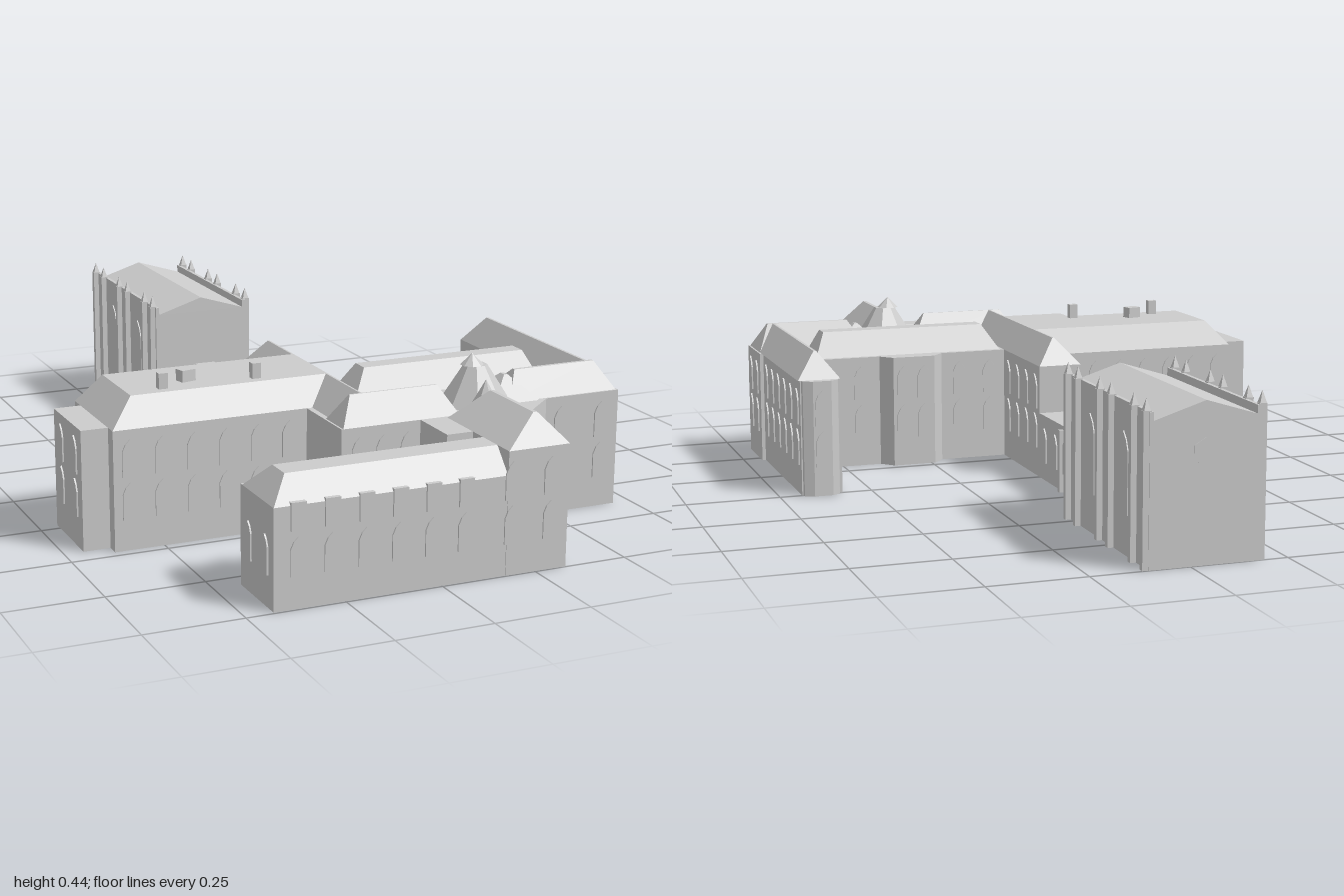
import * as THREE from 'three';

const EAVE = 0.31, RIDGE = 0.38;

export function createModel() {
  const root = new THREE.Group();
  const mat = new THREE.MeshStandardMaterial({ color: 0xcccccc, flatShading: true });

  function add(name, geo, x = 0, y = 0, z = 0, ry = 0) {
    const m = new THREE.Mesh(geo, mat);
    m.name = name;
    m.position.set(x, y, z);
    m.rotation.y = ry;
    root.add(m);
    return m;
  }

  // Vertical walls over a plan outline of [x, z] corners
  function prism(name, pts, h) {
    const s = new THREE.Shape(pts.map(([x, z]) => new THREE.Vector2(x, -z)));
    const g = new THREE.ExtrudeGeometry(s, { depth: h, bevelEnabled: false });
    add(name, g.rotateX(-Math.PI / 2));
  }

  function block(name, x0, x1, z0, z1, y0, y1) {
    add(name, new THREE.BoxGeometry(x1 - x0, y1 - y0, z1 - z0),
      (x0 + x1) / 2, (y0 + y1) / 2, (z0 + z1) / 2);
  }

  // Hipped, flat-topped or gabled roof: base rectangle rising to a smaller top one
  function roof(name, [x0, x1, z0, z1], [u0, u1, w0, w1], y0 = EAVE, y1 = RIDGE) {
    const ring = (a, b, c, d, y) => [[a, y, d], [b, y, d], [b, y, c], [a, y, c]];
    const p = [...ring(x0, x1, z0, z1, y0), ...ring(u0, u1, w0, w1, y1)];
    const quads = [[4, 5, 6, 7], [3, 2, 1, 0]];
    for (let i = 0; i < 4; i++) quads.push([i, (i + 1) % 4, 4 + (i + 1) % 4, 4 + i]);
    const pos = [];
    for (const [a, b, c, d] of quads)
      for (const k of [a, b, c, a, c, d]) pos.push(...p[k]);
    const g = new THREE.BufferGeometry();
    g.setAttribute('position', new THREE.Float32BufferAttribute(pos, 3));
    g.computeVertexNormals();
    add(name, g);
  }

  // Pointed window panel, standing on y = 0
  function arch(w, h) {
    const a = w / 2, s = new THREE.Shape();
    s.moveTo(-a, 0);
    s.lineTo(a, 0);
    s.lineTo(a, h - w * 0.75);
    s.lineTo(a * 0.6, h - w * 0.3);
    s.lineTo(0, h);
    s.lineTo(-a * 0.6, h - w * 0.3);
    s.lineTo(-a, h - w * 0.75);
    s.closePath();
    return new THREE.ExtrudeGeometry(s, { depth: 0.004, bevelEnabled: false });
  }
  const tall = arch(0.04, 0.095);

  // Row of windows on a wall running left to right as seen from outside
  function windows([ax, az], [bx, bz], n, levels = [0.08, 0.19], geo = tall) {
    const ry = Math.atan2(-(bz - az), bx - ax);
    for (let i = 0; i < n; i++) {
      const t = (i + 0.5) / n;
      for (const y of levels) add('window', geo, ax + (bx - ax) * t, y, az + (bz - az) * t, ry);
    }
  }

  // Central block with diagonal entrance front
  prism('centralWalls', [[-0.1, 0.46], [0.6, 0.46], [0.49, 0.63], [0.34, 0.765],
    [0.33, 0.82], [0.1, 0.82], [0.1, 0.68], [-0.1, 0.68]], EAVE);
  windows([0.34, 0.765], [0.48, 0.638], 2);

  // Narrow wing leading back to the link
  block('narrowWingWalls', -0.1, 0.02, 0, 0.6, 0, EAVE);
  block('narrowWingFrontWalls', -0.115, 0, 0.47, 0.68, 0, EAVE);
  roof('narrowWingRoof', [-0.1, 0.02, 0, 0.68], [-0.04, -0.035, 0.05, 0.63]);
  roof('courtRoof', [-0.11, 0.21, 0.58, 0.68], [-0.07, 0.17, 0.625, 0.63]);
  windows([-0.1, 0], [-0.1, 0.18], 2);
  windows([0.02, 0.31], [0.02, 0], 4);
  windows([-0.1, 0.68], [0.1, 0.68], 3);

  // West wing
  block('westWingWalls', -0.63, -0.1, 0.18, 0.475, 0, EAVE);
  block('westEndBay', -0.7, -0.63, 0.225, 0.44, 0, EAVE);
  roof('westWingRoof', [-0.63, -0.04, 0.18, 0.475], [-0.565, -0.04, 0.21, 0.425]);
  windows([-0.63, 0.475], [-0.12, 0.475], 6);
  windows([-0.1, 0.18], [-0.63, 0.18], 7);
  windows([-0.7, 0.225], [-0.7, 0.44], 2);
  block('chimney', -0.482, -0.458, 0.38, 0.4, 0.36, 0.42);
  block('chimney', -0.232, -0.208, 0.38, 0.4, 0.36, 0.42);
  add('chimney', new THREE.BoxGeometry(0.04, 0.05, 0.03), -0.39, 0.385, 0.345, 0.25);

  // Middle range with rear bay
  block('middleRangeWalls', 0, 0.6, 0.31, 0.48, 0, EAVE);
  prism('rearBay', [[0.2, 0.32], [0.24, 0.275], [0.36, 0.275], [0.4, 0.32]], EAVE);
  roof('middleRangeRoof', [0.03, 0.57, 0.325, 0.455], [0.075, 0.54, 0.36, 0.41]);
  windows([0.2, 0.31], [0.02, 0.31], 2);
  windows([0.58, 0.31], [0.4, 0.31], 2);
  windows([0.36, 0.275], [0.24, 0.275], 2);

  // East wing with apse end
  block('eastWingWalls', 0.58, 0.69, 0, 0.63, 0, EAVE);
  prism('eastApse', [[0.58, 0.02], [0.59, -0.01], [0.61, -0.022], [0.66, -0.022],
    [0.685, -0.01], [0.69, 0.02]], EAVE);
  roof('eastWingRoof', [0.58, 0.695, 0, 0.63], [0.633, 0.64, 0.05, 0.58]);
  block('eastFrontWalls', 0.47, 0.7, 0.47, 0.635, 0, EAVE);
  roof('eastFrontRoof', [0.38, 0.695, 0.49, 0.63], [0.42, 0.655, 0.57, 0.58]);
  windows([0.47, 0.635], [0.71, 0.635], 2);
  windows([0.7, 0.635], [0.7, 0.48], 2);
  windows([0.69, 0.47], [0.69, 0], 6);
  windows([0.58, 0], [0.58, 0.31], 4);
  windows([0.67, -0.022], [0.6, -0.022], 1);

  // Front range: lower roof with wall dormers
  block('frontRangeWalls', -0.43, 0.2, 0.8, 0.995, 0, 0.25);
  roof('frontRangeRoof', [-0.43, 0.2, 0.81, 0.995], [-0.38, 0.2, 0.87, 0.94], 0.25, EAVE);
  const step = 0.086, low = arch(0.036, 0.095);
  windows([-0.413, 0.995], [-0.413 + 6 * step, 0.995], 6, [0.08]);
  windows([0.1, 0.8], [-0.43, 0.8], 6, [0.08], low);
  windows([-0.43, 0.8], [-0.43, 0.995], 2, [0.08], low);
  for (let i = 0; i < 6; i++) {
    const x = -0.37 + i * step;
    block('wallDormer', x - 0.019, x + 0.019, 0.93, 1, 0.19, 0.258);
    block('wallDormer', x - 0.019, x + 0.019, 0.796, 0.85, 0.19, 0.258);
  }

  // Taller corner pavilion of the front range
  block('pavilionWalls', 0.17, 0.335, 0.69, 0.997, 0, EAVE);
  roof('pavilionRoof', [0.17, 0.335, 0.69, 0.997], [0.265, 0.275, 0.73, 0.94]);
  windows([0.13, 0.997], [0.34, 0.997], 2);
  windows([0.335, 0.99], [0.335, 0.77], 2);
  add('pavilionCap', new THREE.ConeGeometry(0.05, 0.09, 6), 0.27, 0.355, 0.7);

  // Octagonal lantern over the crossing
  add('lanternRoof', new THREE.CylinderGeometry(0.03, 0.1, 0.11, 8), 0.3, 0.355, 0.59, Math.PI / 8);
  add('lanternCap', new THREE.ConeGeometry(0.03, 0.03, 8), 0.29, 0.425, 0.59, Math.PI / 8);
  roof('crossingRoof', [0.33, 0.46, 0.5, 0.64], [0.39, 0.4, 0.56, 0.58], EAVE, 0.37);

  // Low link to the chapel
  block('linkWalls', -0.095, 0.02, -0.44, 0, 0, 0.18);
  block('linkLobby', -0.17, 0.02, -0.46, -0.42, 0, 0.17);
  roof('linkGable', [-0.09, 0.01, -0.42, -0.345], [-0.07, -0.01, -0.42, -0.345], 0.18, 0.205);
  for (const z of [-0.28, -0.19]) block('linkButtress', -0.108, 0.033, z - 0.007, z + 0.007, 0, 0.17);
  windows([-0.095, -0.42], [-0.095, 0], 5, [0.05], low);
  windows([0.02, 0], [0.02, -0.42], 5, [0.05], low);

  // Chapel with low gable, parapets, buttresses and pinnacles
  const cx = -0.035, hw = 0.135;
  block('chapelWalls', cx - hw, cx + hw, -1, -0.46, 0, 0.35);
  roof('chapelRoof', [cx - hw, cx + hw, -1, -0.46], [cx, cx, -1, -0.46], 0.35, 0.392);
  const lancet = arch(0.06, 0.2);
  for (const s of [-1, 1]) {
    const wall = cx + s * hw;
    block('chapelParapet', wall - 0.005, wall + 0.005, -1, -0.46, 0, 0.372);
    for (const z of [-0.475, -0.545, -0.695, -0.77, -0.915, -0.99]) {
      block('chapelButtress', wall - 0.01 + s * 0.01, wall + 0.01 + s * 0.01, z - 0.008, z + 0.008, 0, 0.375);
      add('pinnacle', new THREE.ConeGeometry(0.012, 0.03, 4), wall + s * 0.01, 0.39, z, Math.PI / 4);
    }
    for (const z of [-0.62, -0.842])
      add('chapelWindow', lancet, wall + s * 0.004, 0.1, z, s * Math.PI / 2);
  }
  const rose = new THREE.CylinderGeometry(0.035, 0.035, 0.006, 6).rotateX(Math.PI / 2);
  add('gableWindow', rose, cx, 0.27, -0.999);

  return root;
}
